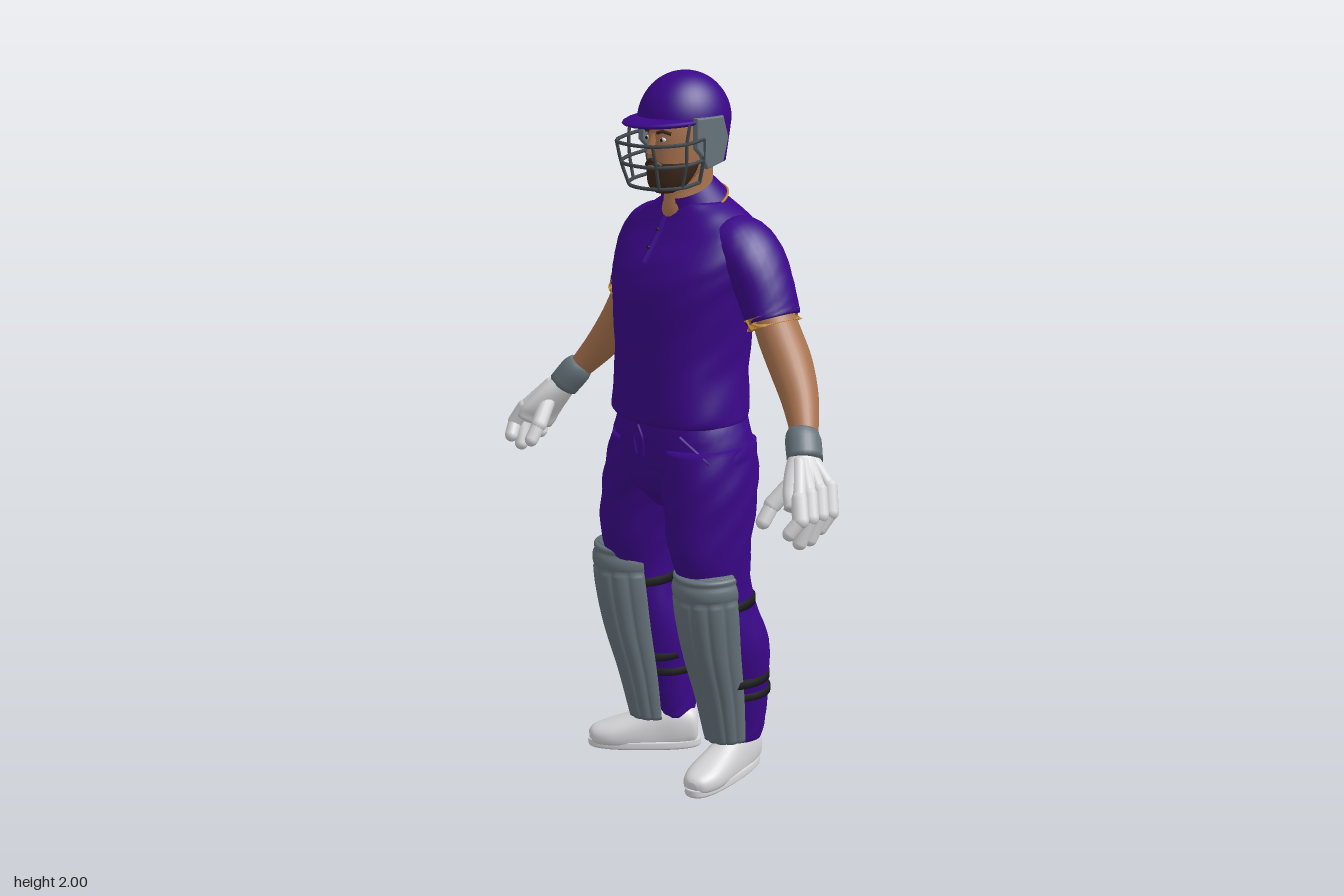
import * as THREE from 'three';

const mat = (name, color) => {
  const m = new THREE.MeshStandardMaterial({ color, side: THREE.DoubleSide });
  m.name = name;
  return m;
};
const V = (a) => new THREE.Vector3(...a);

// Smooth closed skin over rows of [x, y, z, halfWidth, halfDepth]
function loft(rows, { seg = 28, steps = 4, flat = false, ref = [0, 0, 1], pow = 2, ring, fold = 0, floor } = {}) {
  const path = new THREE.CatmullRomCurve3(rows.map((r) => V(r.slice(0, 3))), false, 'catmullrom');
  const size = new THREE.CatmullRomCurve3(rows.map((r) => V([r[3], r[4], 0])), false, 'catmullrom');
  const n = (rows.length - 1) * steps, pos = [], idx = [];
  const se = (c) => Math.sign(c) * Math.abs(c) ** (2 / pow);
  const up = rows[rows.length - 1][1] > rows[0][1] ? 1 : -1;
  for (let i = 0; i <= n; i++) {
    const v = i / n, p = path.getPoint(v), s = size.getPoint(v);
    const t = flat ? V([0, up, 0]) : path.getTangent(v);
    const u = new THREE.Vector3().crossVectors(t, V(ref)).normalize();
    const w = new THREE.Vector3().crossVectors(u, t);
    for (let k = 0; k < seg; k++) {
      const a = (k / seg) * Math.PI * 2;
      const [c, d] = ring ? ring(k / seg, v) : [se(Math.cos(a)), se(Math.sin(a))];
      const f = 1 + fold * Math.sin(a * 5 + v * 17) * Math.sin(v * 31 + a * 2);
      const q = p.clone().addScaledVector(u, c * s.x * f).addScaledVector(w, d * s.y * f);
      if (floor !== undefined) q.y = Math.max(q.y, floor);
      pos.push(q.x, q.y, q.z);
    }
  }
  for (let i = 0; i < n; i++) for (let k = 0; k < seg; k++) {
    const a = i * seg + k, b = i * seg + ((k + 1) % seg);
    idx.push(a, a + seg, b, b, a + seg, b + seg);
  }
  [0, n].forEach((row) => {
    const c = path.getPoint(row / n), m = pos.length / 3;
    pos.push(c.x, floor === undefined ? c.y : Math.max(c.y, floor), c.z);
    for (let k = 0; k < seg; k++) {
      const a = row * seg + k, b = row * seg + ((k + 1) % seg);
      row ? idx.push(m, b, a) : idx.push(m, a, b);
    }
  });
  const g = new THREE.BufferGeometry();
  g.setAttribute('position', new THREE.Float32BufferAttribute(pos, 3));
  g.setIndex(idx);
  g.computeVertexNormals();
  return g;
}

export function createModel() {
  const root = new THREE.Group();
  const purple = mat('purple cloth', 0x3a0788), grey = mat('pad grey', 0x66737b), white = mat('glove white', 0xd6d6d8);
  const skin = mat('skin', 0xa9734f), gold = mat('gold trim', 0xc48a3c), black = mat('strap black', 0x1c1c1f);
  const hair = mat('beard brown', 0x3b2619), steel = mat('grille steel', 0x3f464b);
  const add = (name, geo, m, parent = root) => {
    const o = new THREE.Mesh(geo, m);
    o.name = name;
    parent.add(o);
    return o;
  };
  const ball = (name, p, s, m) => {
    const o = add(name, new THREE.SphereGeometry(1, 24, 16), m);
    o.position.set(...p);
    o.scale.set(...s);
    return o;
  };
  const rod = (name, a, b, r, m, parent) => {
    const d = V(b).sub(V(a));
    const o = add(name, new THREE.CapsuleGeometry(r, d.length(), 4, 12), m, parent);
    o.position.copy(V(a)).addScaledVector(d, 0.5);
    o.quaternion.setFromUnitVectors(V([0, 1, 0]), d.normalize());
    return o;
  };
  const bar = (name, pts, r, m) => add(name, new THREE.TubeGeometry(new THREE.CatmullRomCurve3(pts.map(V)), 24, r, 6), m);

  // Shirt body, collar and placket
  add('shirt', loft([[0, 1.06, .01, .19, .15], [0, 1.08, .01, .203, .163], [0, 1.2, .007, .19, .165], [0, 1.3, 0, .193, .172],
    [0, 1.42, -.008, .207, .176], [0, 1.5, -.025, .222, .162], [0, 1.57, -.045, .215, .13], [0, 1.62, -.05, .16, .106],
    [0, 1.655, -.045, .095, .085]], { flat: true, pow: 2.3, seg: 48, steps: 6, fold: .012 }), purple);
  const collar = new THREE.Group();
  collar.name = 'collar';
  collar.position.set(0, 1.668, -.026);
  collar.rotation.x = .42;
  root.add(collar);
  const gap = .32, arc = Math.PI * 2 - gap * 2;
  add('collarBand', new THREE.CylinderGeometry(.073, .098, .055, 40, 1, true, gap, arc), purple, collar);
  const trim = add('collarTrim', new THREE.TorusGeometry(.098, .0035, 6, 48, arc), gold, collar);
  trim.rotation.set(Math.PI / 2, 0, Math.PI / 2 + gap);
  trim.position.y = -.026;
  bar('placket', [[0, 1.615, .066], [0, 1.57, .09], [0, 1.5, .139]], .009, purple);
  [1.585, 1.54].forEach((y) => ball('button', [0, y, .092 + (1.585 - y) * .7], [.005, .005, .004], black));

  // Trousers: hips, waistband and drawcord
  add('hips', loft([[0, 1.1, 0, .18, .145], [0, 1.02, 0, .207, .156], [0, .94, -.003, .218, .154], [0, .87, 0, .17, .135],
    [0, .81, 0, .06, .09]], { flat: true, pow: 2.3, seg: 40, fold: .012 }), purple);
  [-1, 1].forEach((s) => {
    bar('drawcord', [[0, 1.055, .163], [s * .018, 1.02, .163], [s * .014, .97, .158]], .004, purple);
    bar('pocketSeam', [[s * .13, 1.04, .127], [s * .19, .98, .088], [s * .215, .92, .035]], .005, purple);
  });

  // Legs with pads, straps and shoes
  const padRing = (k, v) => {
    if (k > .66) {
      const a = Math.PI * (1 - (k - .66) / .34);
      return [Math.cos(a) * .86, Math.sin(a) * .8];
    }
    const a = (k / .66) * Math.PI;
    const ribs = Math.abs(Math.sin((k / .66) * Math.PI * 7)) ** .5 * .07;
    const rolls = Math.abs(Math.sin((v / .33) * Math.PI * 3)) ** .5 * .08;
    const r = .93 + (v < .33 ? rolls : ribs);
    return [Math.cos(a) * r, Math.sin(a) * r];
  };
  const legs = [
    { side: 'left', yaw: .12, shoe: [.145, -.025], shoeYaw: .25, pad: [.137, .02, .131, -.07],
      rows: [[.1, 1, 0, .115, .145], [.113, .9, 0, .113, .15], [.122, .8, .005, .104, .142], [.128, .68, .012, .094, .122], [.13, .55, -.025, .08, .098],
        [.14, .4, -.078, .082, .1], [.132, .25, -.105, .07, .08], [.125, .15, -.115, .066, .066], [.122, .1, -.112, .06, .062]] },
    { side: 'right', yaw: -.35, shoe: [-.178, -.005], shoeYaw: -.72, pad: [-.203, .02, -.163, -.035],
      rows: [[-.1, 1, 0, .115, .145], [-.125, .9, 0, .115, .15], [-.15, .8, .005, .108, .14], [-.172, .68, .015, .097, .12], [-.18, .55, -.01, .082, .095],
        [-.162, .4, -.05, .082, .098], [-.145, .25, -.075, .07, .08], [-.135, .15, -.085, .064, .066], [-.132, .1, -.083, .058, .06]] },
  ];
  legs.forEach((L) => {
    const leg = new THREE.Group();
    leg.name = L.side + 'Leg';
    root.add(leg);
    add('trouserLeg', loft(L.rows, { flat: true, fold: .03, steps: 6, seg: 36 }), purple, leg);
    // Straps wrap the calf at three heights
    [[4, -.012], [5, -.1], [6, 0]].forEach(([i, dy]) => {
      const [x, y, z, a, b] = L.rows[i], h = i === 4 ? .012 : .01;
      const yy = y + dy, grow = i === 5 ? .003 : .008;
      add('strap', loft([[x, yy - h, z, a + grow, b + grow], [x, yy + h, z, a + grow, b + grow]], { flat: true, steps: 1 }), black, leg);
    });
    // Ribbed shin pad with a rolled knee
    const [tx, tz, bx, bz] = L.pad;
    const pad = add('legPad', loft([[0, .645, 0, .085, .085], [0, .625, 0, .099, .11], [(bx - tx) * .2, .53, (bz - tz) * .15, .102, .122],
      [(bx - tx) * .45, .4, (bz - tz) * .4, .093, .115], [(bx - tx) * .75, .25, (bz - tz) * .75, .081, .094],
      [bx - tx, .11, bz - tz, .068, .076]], { flat: true, seg: 110, steps: 14, ring: padRing }), grey, leg);
    pad.position.set(tx, 0, tz);
    pad.rotation.y = L.yaw;
    const shoe = new THREE.Group();
    shoe.name = L.side + 'Shoe';
    shoe.position.set(L.shoe[0], 0, L.shoe[1]);
    shoe.rotation.y = L.shoeYaw;
    leg.add(shoe);
    add('upper', loft([[0, .06, -.158, .022, .03], [0, .06, -.145, .04, .055], [0, .06, -.1, .048, .072], [0, .05, -.04, .048, .078],
      [0, .042, .03, .053, .058], [0, .034, .1, .054, .042], [0, .03, .145, .038, .03], [0, .028, .162, .015, .016]],
    { ref: [0, 1, 0], pow: 2.3, floor: .015 }), white, shoe);
    add('sole', loft([[0, 0, 0, .05, .163], [0, .006, 0, .054, .167], [0, .024, 0, .053, .166]],
      { flat: true, pow: 2.5, seg: 40 }), white, shoe);
    [-.005, .025, .055].forEach((z) => rod('lace', [-.026, .096 - z * .42, z], [.026, .096 - z * .42, z], .0045, white, shoe));
  });

  // Arms: sleeve, cuff, forearm and padded glove
  [1, -1].forEach((s) => {
    const arm = new THREE.Group();
    arm.name = (s > 0 ? 'left' : 'right') + 'Arm';
    root.add(arm);
    const M = (rows) => rows.map(([x, ...r]) => [x * s, ...r]);
    const limb = (name, rows, m, o) => add(name, loft(M(rows), o), m, arm);
    limb('sleeve', [[.1, 1.57, -.055, .05, .08], [.165, 1.557, -.058, .068, .094], [.215, 1.51, -.063, .07, .095], [.248, 1.45, -.068, .067, .09],
      [.272, 1.39, -.07, .064, .085], [.282, 1.365, -.07, .062, .083]], purple, { fold: .015 });
    limb('sleeveCuff', [[.277, 1.375, -.07, .065, .086], [.288, 1.348, -.07, .064, .085]], gold, { steps: 1 });
    limb('forearm', [[.265, 1.4, -.07, .048, .06], [.308, 1.32, -.072, .053, .065], [.352, 1.25, -.07, .053, .064], [.41, 1.17, -.05, .046, .052],
      [.47, 1.09, -.01, .033, .037], [.495, 1.05, .01, .03, .034]], skin);
    limb('gloveCuff', [[.463, 1.105, -.012, .036, .042], [.475, 1.085, 0, .043, .05], [.505, 1.04, .022, .042, .05]], grey);
    limb('palm', [[.492, 1.058, .012, .034, .04], [.525, 1.01, .042, .036, .06], [.557, .96, .066, .034, .074], [.57, .925, .082, .028, .07]], white);
    const pt = (x, y, z) => [x * s, y, z];
    for (let i = 0; i < 4; i++) {
      const z = .004 + i * .036, tip = [.872, .85, .848, .88][i];
      const knuckle = pt(.577, .985 - i * .004, z), mid = pt(.602, .925, z + .018), tipP = pt(.588, tip + .012, z + .042);
      rod('handRoll', pt(.52, 1.045, .01 + i * .016), knuckle, .019, white, arm);
      rod('fingerBase', knuckle, mid, .0215, white, arm);
      rod('fingerTip', mid, tipP, .0195, white, arm);
    }
    rod('thumbBase', pt(.515, .995, .075), pt(.492, .94, .125), .023, white, arm);
    rod('thumbTip', pt(.492, .94, .125), pt(.49, .9, .155), .02, white, arm);
  });

  // Neck, head and face
  add('neck', loft([[0, 1.57, -.02, .06, .07], [0, 1.63, -.02, .063, .08], [0, 1.7, -.025, .06, .066], [0, 1.76, -.02, .06, .066]], { flat: true }), skin);
  add('head', loft([[0, 1.69, .06, .025, .03], [0, 1.705, .045, .048, .058], [0, 1.745, .02, .066, .085], [0, 1.8, .006, .075, .1],
    [0, 1.86, -.003, .078, .107], [0, 1.92, -.01, .07, .095]], { flat: true }), skin);
  add('beard', loft([[0, 1.682, .06, .024, .03], [0, 1.7, .045, .052, .063], [0, 1.735, .024, .067, .088], [0, 1.765, .012, .072, .097]],
    { flat: true, ring: (k) => [Math.cos(k * 6.2832), Math.max(Math.sin(k * 6.2832), -.1)] }), hair);
  bar('moustache', [[-.03, 1.757, .1], [0, 1.772, .112], [.03, 1.757, .1]], .007, hair);
  ball('mouth', [0, 1.753, .111], [.017, .005, .006], skin);
  bar('nose', [[0, 1.84, .098], [0, 1.81, .111], [0, 1.79, .116]], .011, skin);
  [-1, 1].forEach((s) => {
    ball('eye', [s * .03, 1.828, .097], [.011, .006, .006], white);
    ball('pupil', [s * .03, 1.828, .102], [.005, .005, .003], black);
    bar('eyebrow', [[s * .014, 1.845, .103], [s * .032, 1.85, .099], [s * .05, 1.844, .085]], .005, hair);
  });

  // Helmet shell, neck skirt, peak and ear guards
  const shell = add('helmetShell', new THREE.SphereGeometry(1, 40, 16, 0, Math.PI * 2, 0, Math.PI / 2), purple);
  shell.position.set(0, 1.87, -.005);
  shell.scale.set(.115, .13, .134);
  const skirt = add('helmetSkirt', new THREE.CylinderGeometry(1, .88, 1, 40, 4, true, Math.PI * .48, Math.PI * 1.04), purple);
  skirt.position.set(0, 1.816, -.005);
  skirt.scale.set(.115, .112, .134);
  ball('helmetPeak', [0, 1.878, .03], [.117, .017, .155], purple).rotation.x = .06;
  const ear = new THREE.Shape([[.052, 1.885], [-.035, 1.885], [-.052, 1.83], [-.035, 1.77], [.015, 1.757], [.032, 1.79], [.052, 1.81]]
    .map((p) => new THREE.Vector2(...p)));
  [-1, 1].forEach((s) => {
    const g = add('earGuard', new THREE.ExtrudeGeometry(ear, { depth: .012, bevelSize: .004, bevelThickness: .004, bevelSegments: 2 }), grey);
    g.rotation.y = -Math.PI / 2;
    g.position.x = s * .11 + .006;
  });

  // Face grille
  const hoops = [[.118, 1.822, .19], [.115, 1.765, .176], [.1, 1.705, .158]];
  hoops.forEach(([w, y, z]) => bar('grilleHoop', [[-w, y + .012, .03], [-w, y + .004, .09], [-w * .62, y, z - .02], [0, y, z],
    [w * .62, y, z - .02], [w, y + .004, .09], [w, y + .012, .03]], .005, steel));
  [-1, 1].forEach((s) => {
    bar('grilleUpright', hoops.map(([w, y, z]) => [s * w * .62, y, z - .02]), .0045, steel);
    bar('grilleSide', [[s * .118, 1.875, .08], ...hoops.map(([w, y]) => [s * w, y + .004, .09])], .0045, steel);
    bar('grilleHinge', hoops.map(([w, y]) => [s * w, y + .012, .03]), .005, steel);
  });
  return root;
}
